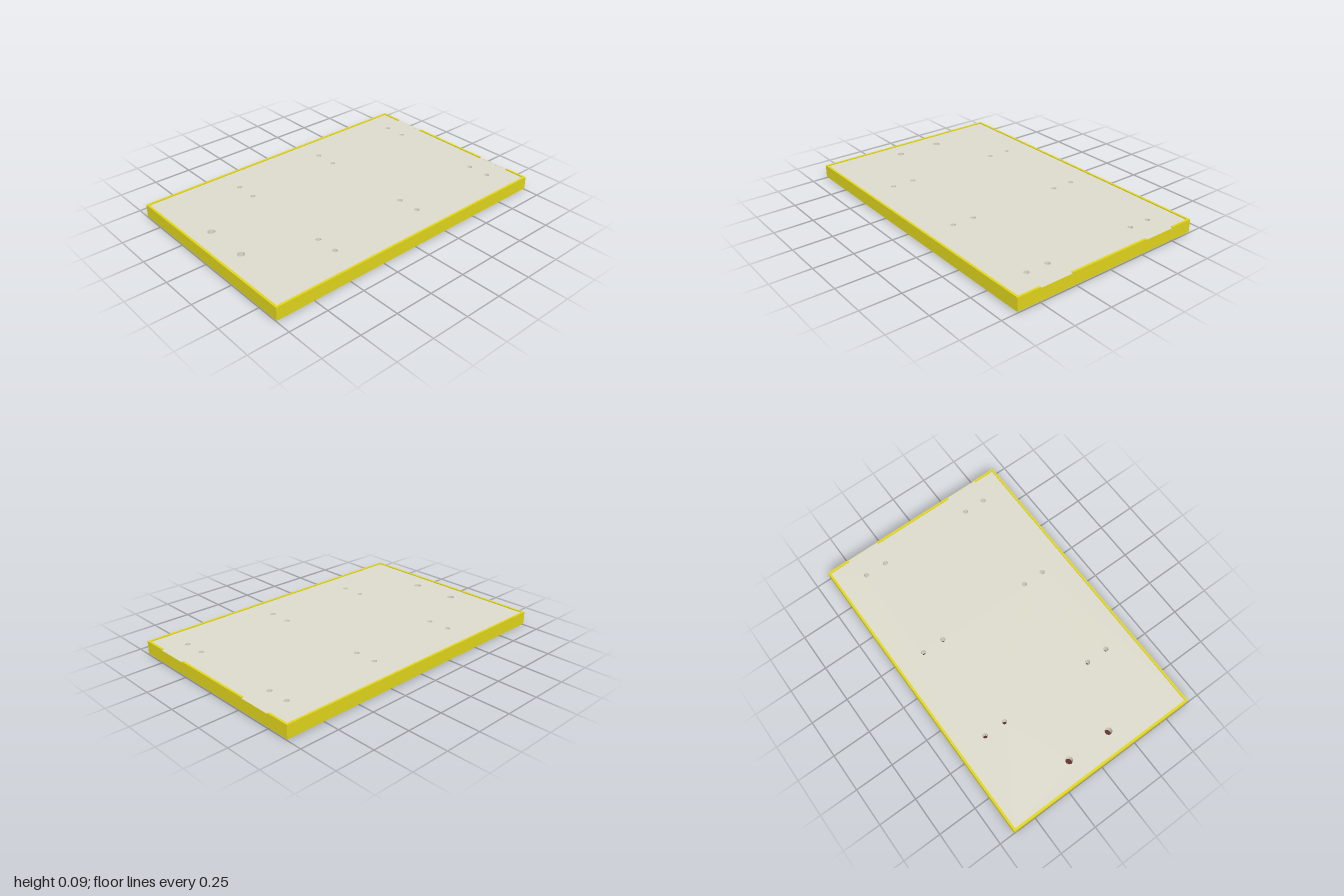
import * as THREE from 'three';

const W = 1.3, L = 2;               // panel width and length
const EDGE = 0.014;                 // edge band thickness
const Y0 = 0.007, Y1 = 0.09;        // edge band bottom and top
const CORE0 = 0.012, CORE1 = 0.084; // core sits slightly inside the bands
const PAD_X = 0.388, PAD_W = 0.218;

const mat = (color) => new THREE.MeshStandardMaterial({ color });

export function createModel() {
  const group = new THREE.Group();
  const yellow = mat(0xe0d51c), cream = mat(0xdcdacb), brown = mat(0x5c2a22);

  function add(name, geometry, material, x = 0, y = 0, z = 0) {
    const mesh = new THREE.Mesh(geometry, material);
    mesh.name = name;
    mesh.position.set(x, y, z);
    group.add(mesh);
    return mesh;
  }
  const box = (name, w, h, d, material, x, y, z) =>
    add(name, new THREE.BoxGeometry(w, h, d), material, x, y, z);

  // core board with screw holes through it
  const hw = W / 2 - EDGE, hl = L / 2 - EDGE;
  const board = new THREE.Shape([
    new THREE.Vector2(-hw, -hl), new THREE.Vector2(hw, -hl),
    new THREE.Vector2(hw, hl), new THREE.Vector2(-hw, hl),
  ]);
  const hole = (x, z, r) =>
    board.holes.push(new THREE.Path().absarc(x, -z, r, 0, Math.PI * 2, true));
  const rows = [-0.843, -0.196, 0.451];
  for (const s of [-1, 1]) {
    for (const z of rows) for (const x of [0.316, 0.459]) hole(s * x, z, 0.016);
    hole(s * 0.148, 0.862, 0.023);
  }
  const boardGeo = new THREE.ExtrudeGeometry(board, {
    depth: CORE1 - CORE0, bevelEnabled: false, curveSegments: 16,
  });
  boardGeo.rotateX(-Math.PI / 2);
  add('coreBoard', boardGeo, cream, 0, CORE0, 0);

  // side and front edge bands
  const h = Y1 - Y0, yc = (Y0 + Y1) / 2;
  for (const s of [-1, 1]) {
    box(s > 0 ? 'leftEdgeBand' : 'rightEdgeBand', EDGE, h, L, yellow, s * (W - EDGE) / 2, yc, 0);
  }
  box('frontEdgeBand', W - 2 * EDGE, h, EDGE, yellow, 0, yc, (L - EDGE) / 2);

  // back edge band with two shallow notches in its top
  const n0 = PAD_X - PAD_W / 2, n1 = PAD_X + PAD_W / 2;
  const back = new THREE.Shape([
    [-hw, Y0], [hw, Y0], [hw, Y1], [n1, Y1], [n1, CORE1], [n0, CORE1], [n0, Y1],
    [-n0, Y1], [-n0, CORE1], [-n1, CORE1], [-n1, Y1], [-hw, Y1],
  ].map(([x, y]) => new THREE.Vector2(x, y)));
  add('backEdgeBand', new THREE.ExtrudeGeometry(back, { depth: EDGE, bevelEnabled: false }),
    yellow, 0, 0, -L / 2);

  for (const s of [-1, 1]) {
    // pale floor of each notch, level with the board
    box('notchFloor', PAD_W, 0.001, EDGE - 0.002, cream, s * PAD_X, CORE1, -L / 2 + EDGE / 2 + 0.001);
    // pads under each pair of holes
    for (const z of rows) box('footPad', PAD_W, CORE0, 0.076, brown, s * PAD_X, CORE0 / 2, z);
  }
  // wide pad under the two large holes
  box('frontPad', 0.39, CORE0, 0.09, brown, 0, CORE0 / 2, 0.862);

  return group;
}
